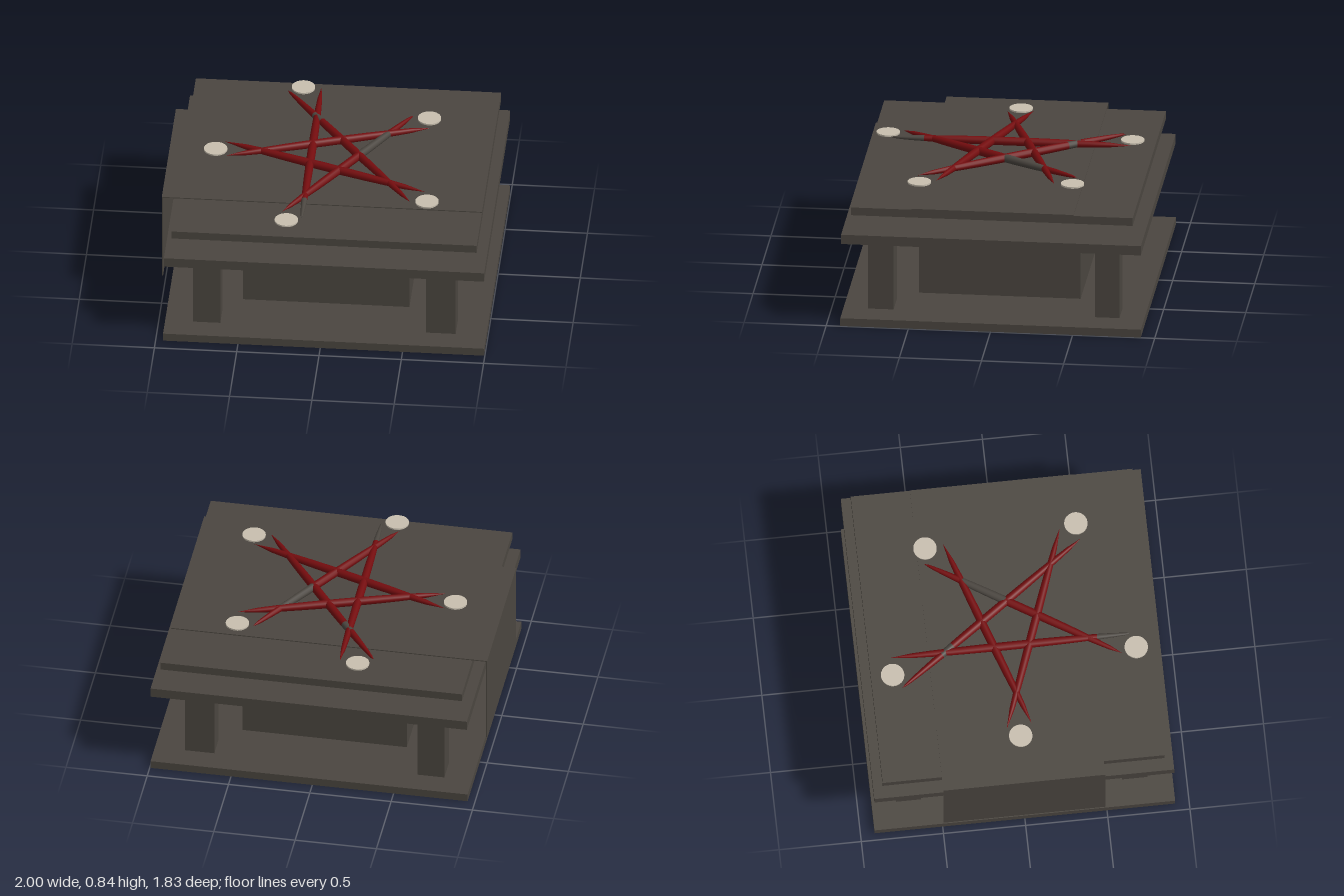
import * as THREE from 'three';

export function createModel() {
  const model = new THREE.Group();
  model.name = 'altarTable';
  const mat = (name, color) => {
    const m = new THREE.MeshStandardMaterial({ color });
    m.name = name;
    return m;
  };
  const stone = mat('darkStone', 0x4b4640);
  const red = mat('deepRed', 0x740c0e);
  const cream = mat('candleCream', 0xc8bfaf);

  // Box given by its minimum and maximum corners
  function block(name, [x0, y0, z0], [x1, y1, z1]) {
    const mesh = new THREE.Mesh(new THREE.BoxGeometry(x1 - x0, y1 - y0, z1 - z0), stone);
    mesh.position.set((x0 + x1) / 2, (y0 + y1) / 2, (z0 + z1) / 2);
    mesh.name = name;
    model.add(mesh);
  }

  // Stacked slabs and the solid core
  block('baseSlab', [-0.955, 0, -0.915], [0.995, 0.05, 0.915]);
  block('core', [-0.505, 0.05, -0.495], [0.505, 0.7, 0.49]);
  block('middleSlab', [-0.95, 0.53, -0.915], [0.995, 0.59, 0.91]);
  block('topSlab', [-0.91, 0.7, -0.86], [0.945, 0.75, 0.855]);

  // Corner legs
  for (const [x0, x1] of [[-0.785, -0.62], [0.63, 0.81]])
    for (const [z0, z1] of [[-0.765, -0.615], [0.61, 0.765]])
      block('leg', [x0, 0.05, z0], [x1, 0.53, z1]);

  // Cloth lying across the top and hanging over one end
  block('clothTop', [-1, 0.75, -0.5], [0.945, 0.756, 0.485]);
  block('clothDrop', [-1, 0.19, -0.5], [-0.992, 0.75, 0.485]);

  // Tapered rod from a to b (x, z), split into coloured spans along its length
  const rodY = 0.81, rodRadius = 0.026;
  function rod(a, b, spans) {
    const start = new THREE.Vector3(a[0], rodY, a[1]);
    const end = new THREE.Vector3(b[0], rodY, b[1]);
    const length = start.distanceTo(end);
    const group = new THREE.Group();
    group.name = 'starRod';
    for (const [t0, t1, material] of spans) {
      const profile = [];
      for (let i = 0; i <= 10; i++) {
        const t = t0 + (t1 - t0) * i / 10;
        const r = rodRadius * Math.sqrt(Math.max(0, 1 - (2 * t - 1) ** 2));
        profile.push(new THREE.Vector2(r, (t - 0.5) * length));
      }
      const mesh = new THREE.Mesh(new THREE.LatheGeometry(profile, 12), material);
      mesh.name = 'rodSpan';
      group.add(mesh);
    }
    group.position.copy(start).lerp(end, 0.5);
    group.quaternion.setFromUnitVectors(new THREE.Vector3(0, 1, 0), end.sub(start).normalize());
    model.add(group);
  }

  // Five crossing rods forming the star
  rod([-0.135, -0.73], [-0.13, 0.73], [[0, 0.86, red], [0.86, 1, stone]]);
  rod([-0.335, -0.68], [0.51, 0.495], [[0, 0.22, red], [0.22, 0.28, stone], [0.28, 1, red]]);
  rod([-0.665, -0.08], [0.59, 0.375], [[0, 1, red]]);
  rod([-0.645, 0.075], [0.565, -0.34], [[0, 1, red]]);
  rod([-0.25, 0.665], [0.445, -0.465], [[0, 0.59, red], [0.59, 0.81, stone], [0.81, 1, red]]);

  // Pale discs at the star's points
  for (const [x, z] of [[-0.245, -0.73], [0.545, -0.45], [-0.715, 0], [0.61, 0.475], [-0.22, 0.755]]) {
    const disc = new THREE.Mesh(new THREE.CylinderGeometry(0.071, 0.071, 0.01, 32), cream);
    disc.position.set(x, 0.806, z);
    disc.name = 'starDisc';
    model.add(disc);
  }
  return model;
}
